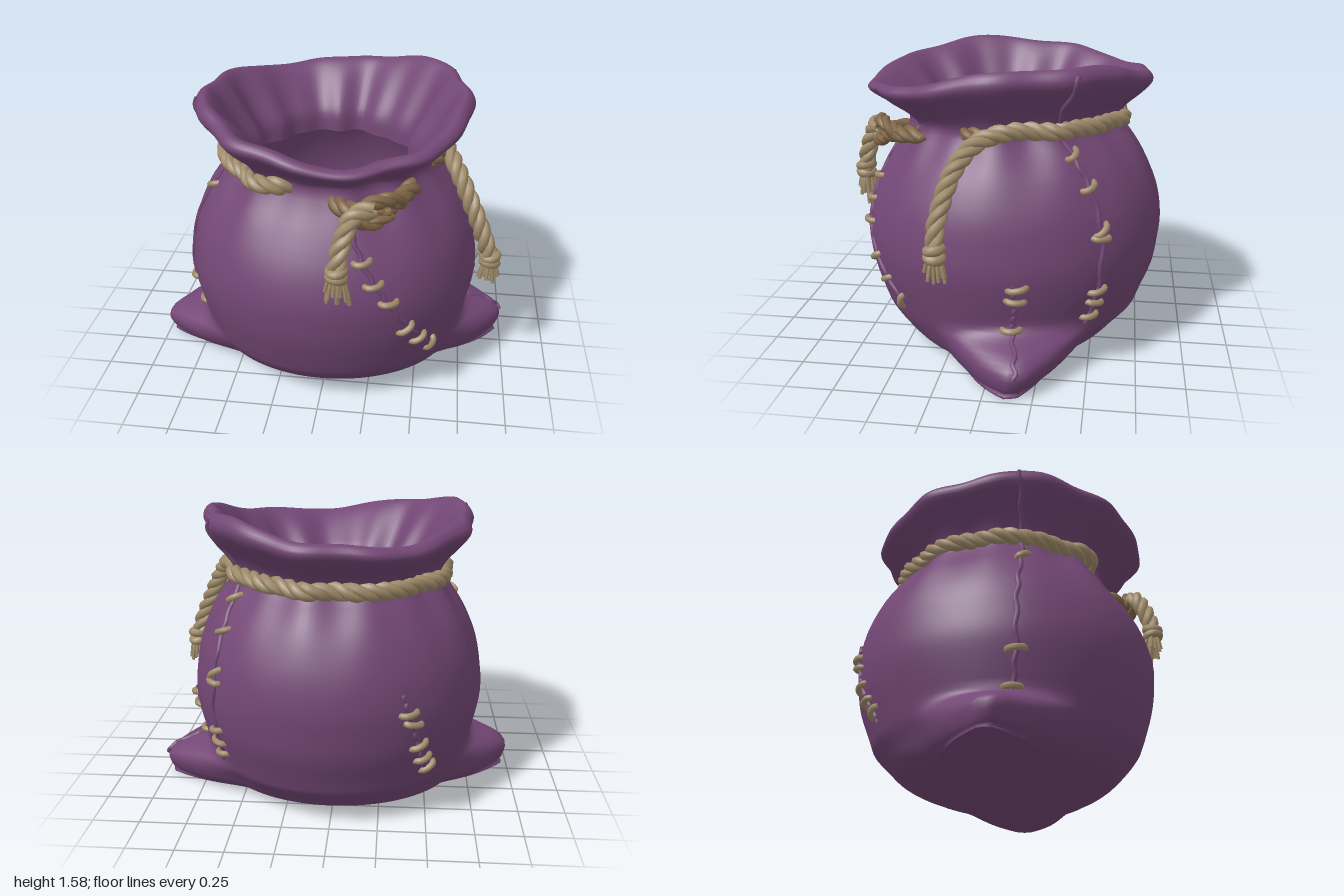
import * as THREE from 'three';

const V = (x, y, z) => new THREE.Vector3(x, y, z);
const mat = (name, color, side = THREE.FrontSide) => {
  const m = new THREE.MeshStandardMaterial({ color, side });
  m.name = name;
  return m;
};

// Sack profile, bottom to rim and down inside: y, half width, front z, back z, corner length, fold depth
const PROFILE = [
  [0, 0, 0, 0, 0, 0],
  [0, 0.58, 0.36, 0.42, 0.32, 0],
  [0.02, 0.66, 0.47, 0.53, 0.3, 0],
  [0.06, 0.69, 0.56, 0.61, 0.3, 0],
  [0.13, 0.71, 0.64, 0.68, 0.29, 0],
  [0.19, 0.73, 0.69, 0.74, 0.2, 0],
  [0.235, 0.745, 0.71, 0.76, 0.07, 0],
  [0.29, 0.76, 0.73, 0.78, 0, 0],
  [0.42, 0.79, 0.77, 0.83, 0, 0],
  [0.55, 0.81, 0.79, 0.85, 0, 0],
  [0.68, 0.8, 0.79, 0.86, 0, 0],
  [0.84, 0.77, 0.74, 0.835, 0, 0.002],
  [1.0, 0.7, 0.65, 0.77, 0, 0.008],
  [1.12, 0.62, 0.57, 0.69, 0, 0.016],
  [1.22, 0.565, 0.53, 0.6, 0, 0.02],
  [1.3, 0.6, 0.59, 0.63, 0, 0.02],
  [1.37, 0.67, 0.68, 0.71, 0, 0.018],
  [1.43, 0.725, 0.745, 0.77, 0, 0.015],
  [1.47, 0.725, 0.76, 0.775, 0, 0.014],
  [1.5, 0.69, 0.73, 0.74, 0, 0.014],
  [1.485, 0.65, 0.68, 0.69, 0, 0.016],
  [1.42, 0.59, 0.6, 0.62, 0, 0.024],
  [1.31, 0.51, 0.5, 0.53, 0, 0.03],
  [1.22, 0.45, 0.435, 0.475, 0, 0.028],
  [1.12, 0.44, 0.425, 0.465, 0, 0.026],
];
const LAST = PROFILE.length - 1, RIM = 19;
const shapeCurve = new THREE.CatmullRomCurve3(PROFILE.map(p => V(p[1], p[0], p[2])), false, 'catmullrom');
const extraCurve = new THREE.CatmullRomCurve3(PROFILE.map(p => V(p[3], p[4], p[5])), false, 'catmullrom');
const CORNERS = [-0.17, Math.PI - 0.14];

// Point of the cloth at an angle (0 = +x, PI/2 = front) and a position t along the profile
function cloth(a, t) {
  const s = shapeCurve.getPoint(t), e = extraCurve.getPoint(t);
  const c = Math.cos(a), n = Math.sin(a);
  const fold = (0.6 * Math.sin(9 * a + 1) + 0.5 * Math.sin(14 * a + 2.3)) * e.z;
  let corner = 0;
  for (const k of CORNERS) {
    const d = Math.abs(Math.atan2(Math.sin(a - k), Math.cos(a - k)));
    corner += Math.pow(Math.max(0, 1 - Math.max(0, d - 0.04) / 0.6), 1.35) * Math.max(0, e.y);
  }
  let y = Math.max(0, s.y);
  const top = 1.505 + 0.06 * Math.cos(2 * (a + 0.35)) - 0.03 * n + 0.01 * Math.sin(7 * a + 1);
  if (y > 1.22) y = 1.22 + (y - 1.22) * (top - 1.22) / 0.28;
  return V(c * (s.x + fold + corner), y, n * ((n > 0 ? s.z : e.x) + fold + corner));
}

// Point on the outer cloth at a given height, pushed out by some distance
function at(a, y, out = 0) {
  let lo = 1 / LAST, hi = RIM / LAST;
  for (let i = 0; i < 24; i++) {
    const mid = (lo + hi) / 2;
    if (cloth(a, mid).y < y) lo = mid; else hi = mid;
  }
  return cloth(a, lo).add(V(Math.cos(a) * out, 0, Math.sin(a) * out));
}

function sackGeometry() {
  const rows = LAST * 3, cols = 144, pos = [], idx = [];
  for (let i = 0; i <= rows; i++)
    for (let j = 0; j < cols; j++) pos.push(...cloth(j / cols * Math.PI * 2, i / rows).toArray());
  for (let i = 0; i < rows; i++)
    for (let j = 0; j < cols; j++) {
      const a = i * cols + j, n = i * cols + (j + 1) % cols;
      idx.push(a, a + cols, n, a + cols, n + cols, n);
    }
  const g = new THREE.BufferGeometry();
  g.setAttribute('position', new THREE.Float32BufferAttribute(pos, 3));
  g.setIndex(idx);
  g.computeVertexNormals();
  return g;
}

const tube = (pts, r, seg, sides = 6) =>
  new THREE.TubeGeometry(new THREE.CatmullRomCurve3(pts), seg, r, sides, false);

export function createModel() {
  const root = new THREE.Group();
  root.name = 'sack';
  const purple = mat('purple cloth', 0x734775, THREE.DoubleSide);
  const tan = mat('tan rope', 0xa08b6a);
  const brown = mat('brown rope', 0x816748);
  const add = (name, geo, m, parent = root) => {
    const mesh = new THREE.Mesh(geo, m);
    mesh.name = name;
    parent.add(mesh);
    return mesh;
  };
  let seed = 7;
  const rnd = () => (seed = (seed * 16807) % 2147483647) / 2147483647;

  add('clothBody', sackGeometry(), purple);
  add('bottomSeam', tube([V(-0.9, 0.006, 0.13), V(0, 0.006, -0.01), V(0.9, 0.006, -0.15)], 0.006, 20), purple);

  // Three strands twisted round a path
  function rope(name, pts, m, r = 0.047) {
    const g = new THREE.Group();
    g.name = name;
    root.add(g);
    const path = new THREE.CatmullRomCurve3(pts), len = path.getLength();
    const n = Math.ceil(len / 0.022), f = path.computeFrenetFrames(n);
    for (let k = 0; k < 3; k++) {
      const line = [];
      for (let i = 0; i <= n; i++) {
        const w = i / n * len / 0.24 * Math.PI * 2 + k * Math.PI * 2 / 3;
        line.push(path.getPointAt(i / n)
          .addScaledVector(f.normals[i], Math.cos(w) * r * 0.5)
          .addScaledVector(f.binormals[i], Math.sin(w) * r * 0.5));
      }
      add('strand', tube(line, r * 0.57, n * 2, 7), m, g);
    }
  }

  // Whipped knot with loose fibres below it
  function frayedEnd(p, m) {
    const g = new THREE.Group();
    g.name = 'frayedEnd';
    g.position.copy(p);
    root.add(g);
    for (const dy of [-0.02, 0.02]) {
      const ring = add('endKnot', new THREE.TorusGeometry(0.034, 0.026, 8, 16), m, g);
      ring.rotation.set(Math.PI / 2 + dy * 8, dy * 6, 0);
      ring.position.y = dy;
    }
    for (let i = 0; i < 12; i++) {
      const a = i * 2.4, r = 0.025 + rnd() * 0.04, l = 0.09 + rnd() * 0.06;
      const x = Math.cos(a), z = Math.sin(a);
      add('fibre', tube([V(x * 0.015, 0, z * 0.015), V(x * r * 0.8, -l * 0.55, z * r * 0.8),
        V(x * r, -l, z * r)], 0.01, 5, 5), m, g);
    }
  }

  // Rope round the neck, with one end hanging on the left side
  const ring = [V(0.87, 0.72, 0.24), V(0.84, 0.82, 0.24), V(0.775, 0.97, 0.21), V(0.7, 1.12, 0.15), V(0.64, 1.21, 0.06)];
  for (let i = 0; i <= 20; i++) {
    const a = -0.12 - i * 0.21;
    ring.push(at(a, 1.22, 0.022).setY(1.235 + 0.015 * Math.cos(a) - 0.025 * Math.max(0, Math.sin(a))));
  }
  ring.push(at(-4.45, 1.18, -0.09));
  rope('neckRope', ring, tan);
  frayedEnd(V(0.875, 0.71, 0.24), tan);
  rope('ropeStub', [at(0.34, 1.22, -0.07), at(0.24, 1.225, 0.005), at(0.08, 1.225, 0.0)], brown, 0.04);

  // Front knot and its hanging end
  rope('frontRope', [V(0.03, 1.14, 0.47), V(0.12, 1.145, 0.58), V(0.24, 1.15, 0.62), V(0.35, 1.17, 0.57), V(0.45, 1.19, 0.38)], brown);
  rope('frontKnotLoop', [V(0.41, 1.18, 0.52), V(0.34, 1.22, 0.61), V(0.25, 1.215, 0.66), V(0.19, 1.16, 0.68), V(0.25, 1.115, 0.67), V(0.35, 1.15, 0.61)], brown, 0.038);
  rope('frontHangingEnd', [V(0.27, 1.2, 0.67), V(0.18, 1.17, 0.71), V(0.135, 1.07, 0.76), V(0.115, 0.97, 0.79), V(0.11, 0.88, 0.8)], tan);
  frayedEnd(V(0.11, 0.9, 0.8), tan);
  for (const x of [-0.03, 0, 0.035])
    add('fibre', tube([V(0.11 + x, 0.87, 0.79), V(0.11 + x * 1.4, 0.8, 0.78), V(0.11 + x * 1.8, 0.71, 0.77)], 0.014, 6, 5), tan);

  // Sewn seams: path as [angle, y]; stitches as [angle, y, tilt]
  const seams = {
    frontSeam: {
      path: [[1.36, 1.1], [1.27, 0.9], [1.12, 0.7], [0.95, 0.5], [0.72, 0.3]],
      stitches: [[1.27, 0.9, 0.1], [1.2, 0.79, 0.1], [1.1, 0.69, 0], [0.98, 0.51, 0.6], [0.86, 0.41, 0.5], [0.72, 0.31, 1.2]],
    },
    leftSeam: {
      path: [[-0.56, 1.54], [-0.53, 1.36], [-0.6, 1.12], [-0.66, 0.98], [-0.7, 0.75], [-0.7, 0.45], [-0.68, 0.25]],
      stitches: [[-0.6, 1.13, 0.5], [-0.66, 0.98, 0.4], [-0.7, 0.77, 0.7], [-0.7, 0.73, -0.1], [-0.7, 0.45, 0.2], [-0.7, 0.38, -0.2], [-0.69, 0.3, 0.1]],
    },
    rightSeam: {
      path: [[2.87, 1.54], [2.83, 1.36], [2.8, 1.12], [2.85, 0.9], [2.88, 0.7], [2.88, 0.45], [2.9, 0.26]],
      stitches: [[2.8, 1.05, 0.4], [2.88, 0.46, 0.1], [2.9, 0.28, 0]],
    },
    leftCornerSeam: {
      path: [[-0.16, 0.53], [-0.17, 0.4], [-0.16, 0.27], [-0.17, 0.12]],
      stitches: [[-0.18, 0.51, 0.2], [-0.17, 0.44, -0.1], [-0.15, 0.27, 0]],
    },
    backSeam: {
      path: [[-2.06, 0.76], [-2.1, 0.62], [-2.18, 0.45], [-2.29, 0.26]],
      stitches: [[-2.09, 0.66, 0.1], [-2.12, 0.6, -0.2], [-2.17, 0.47, 0.4], [-2.22, 0.38, 0.3], [-2.28, 0.31, 0.6]],
    },
  };
  for (const [name, { path, stitches }] of Object.entries(seams)) {
    const g = new THREE.Group();
    g.name = name;
    root.add(g);
    const guide = new THREE.CatmullRomCurve3(path.map(p => V(p[0], p[1], 0)));
    const line = guide.getPoints(40).map((p, i) => at(p.x + 0.008 * Math.sin(i * 1.3), p.y, 0.002));
    add('seamRidge', tube(line, 0.013, 80), purple, g);
    for (const [a, y, tilt] of stitches) {
      const da = 0.06 * Math.cos(tilt), dy = 0.045 * Math.sin(tilt);
      add('stitch', tube([at(a + da, y - dy, -0.012), at(a + da * 0.7, y - dy * 0.7, 0.014), at(a, y, 0.024),
        at(a - da * 0.7, y + dy * 0.7, 0.014), at(a - da, y + dy, -0.012)], 0.017, 12, 7), tan, g);
    }
  }
  return root;
}
